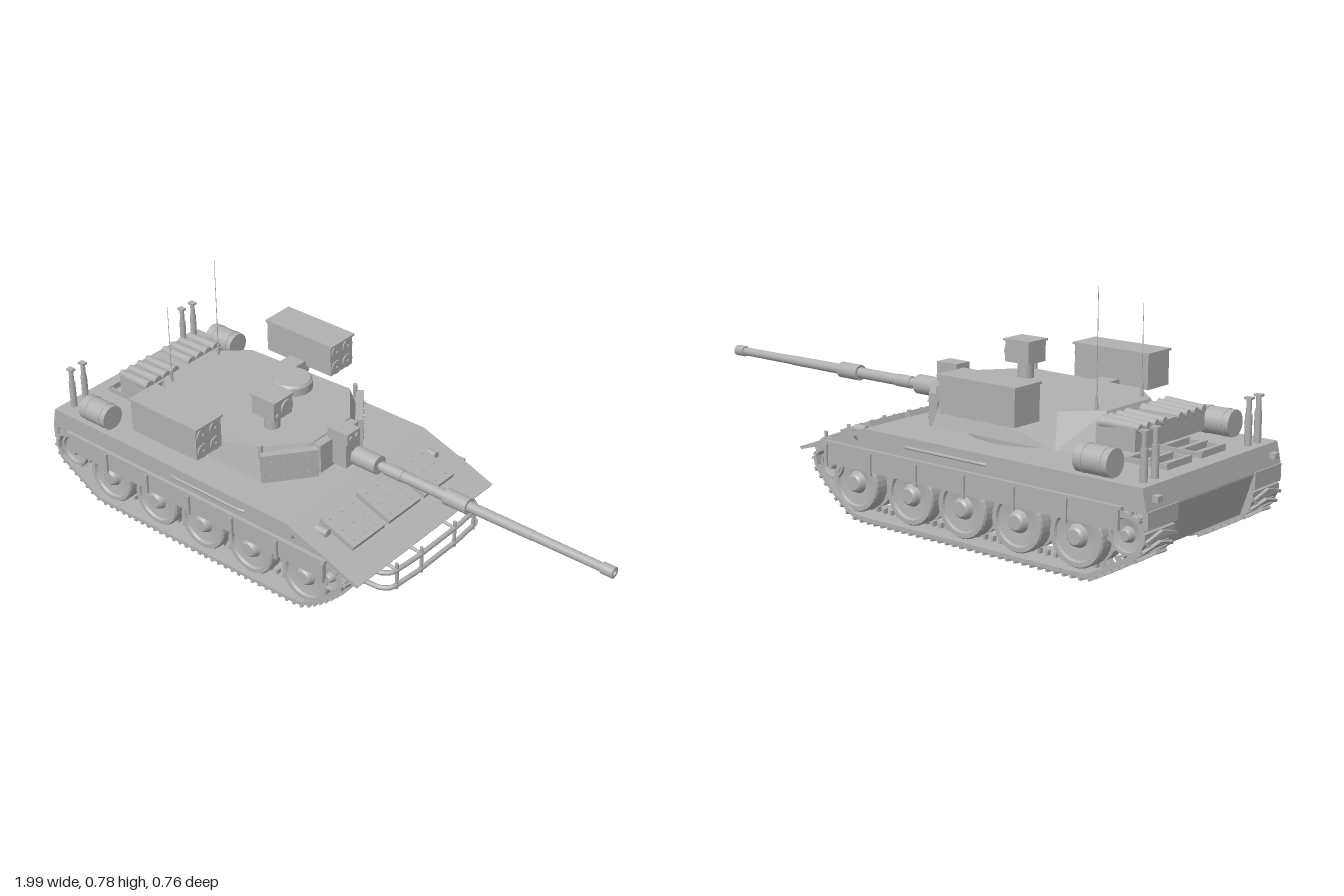
import * as THREE from 'three';
import { mergeGeometries } from 'three/addons/utils/BufferGeometryUtils.js';
import { ConvexGeometry } from 'three/addons/geometries/ConvexGeometry.js';

const V = (x, y, z) => new THREE.Vector3(x, y, z);

export function createModel() {
  const model = new THREE.Group();
  model.name = 'tank';
  const grey = new THREE.MeshStandardMaterial({ color: 0xb0b0b0 });
  grey.name = 'plain grey';

  const add = (name, geo, parent = model) => {
    const mesh = new THREE.Mesh(geo, grey);
    mesh.name = name;
    parent.add(mesh);
    return mesh;
  };
  // Box from its min and max corners
  const box = (x0, x1, y0, y1, z0, z1) =>
    new THREE.BoxGeometry(x1 - x0, y1 - y0, z1 - z0).translate((x0 + x1) / 2, (y0 + y1) / 2, (z0 + z1) / 2);
  const cylX = (r0, r1, x0, x1, y, z, n = 24) =>
    new THREE.CylinderGeometry(r1, r0, x1 - x0, n).rotateZ(-Math.PI / 2).translate((x0 + x1) / 2, y, z);
  const cylY = (r0, r1, y0, y1, x, z, n = 24) =>
    new THREE.CylinderGeometry(r1, r0, y1 - y0, n).translate(x, (y0 + y1) / 2, z);
  const cylZ = (r, z0, z1, x, y, n = 28) =>
    new THREE.CylinderGeometry(r, r, z1 - z0, n).rotateX(Math.PI / 2).translate(x, y, (z0 + z1) / 2);
  const tube = (pts, r, n = 24) => new THREE.TubeGeometry(
    new THREE.CatmullRomCurve3(pts, false, 'catmullrom', 0.1), n, r, 8);
  const slab = (pts, halfWidth) => new THREE.ExtrudeGeometry(
    new THREE.Shape(pts.map(p => new THREE.Vector2(...p))), { depth: halfWidth * 2, bevelEnabled: false })
    .translate(0, 0, -halfWidth);
  const sides = [1, -1];

  // Hull: wide upper body over a narrow lower tub
  add('upperHull', slab([[-0.975, 0.235], [0.23, 0.225], [0.335, 0.195], [0.34, 0.203], [0.23, 0.245],
    [0.06, 0.305], [-0.96, 0.305]], 0.345));
  add('lowerHull', slab([[-0.93, 0.105], [0.13, 0.105], [0.335, 0.2], [0.2, 0.24], [-0.975, 0.24]], 0.2));

  // Sloped armour blocks with bolts on the front plate
  const glacis = new THREE.Group();
  glacis.name = 'frontArmour';
  glacis.position.set(0.18, 0.264, 0);
  glacis.rotation.z = -0.36;
  model.add(glacis);
  for (const [z, w] of [[0, 0.158], [0.178, 0.155], [-0.178, 0.155]]) {
    add('armourBlock', box(-0.07, 0.07, -0.012, 0.016, z - w / 2, z + w / 2), glacis);
    const bolts = [];
    for (const x of [-0.05, 0, 0.05]) for (const k of [-1, 0, 1])
      bolts.push(cylY(0.0045, 0.0045, 0.015, 0.019, x, z + k * w * 0.34, 8));
    add('armourBolts', mergeGeometries(bolts), glacis);
  }

  // Running gear
  const trackPath = new THREE.CatmullRomCurve3([[-0.965, 0.165], [-0.945, 0.115], [-0.9, 0.09], [-0.79, 0.026],
    [-0.72, 0.02], [-0.3, 0.02], [0.05, 0.02], [0.12, 0.028], [0.2, 0.085], [0.265, 0.15], [0.272, 0.19],
    [0.235, 0.213], [0.1, 0.22], [-0.4, 0.222], [-0.8, 0.225], [-0.91, 0.222], [-0.95, 0.205]]
    .map(([x, y]) => V(x, y, 0)), true, 'catmullrom', 0.3);
  const linkCount = 92;
  const linkParts = [];
  for (let i = 0; i < linkCount; i++) {
    const u = i / linkCount, p = trackPath.getPointAt(u), t = trackPath.getTangentAt(u);
    const angle = Math.atan2(t.y, t.x);
    // Path runs counter-clockwise, so local -y faces outward
    const link = [box(-0.0145, 0.0145, -0.006, 0.006, -0.072, 0.072), box(-0.005, 0.005, 0.005, 0.022, -0.008, 0.008)];
    for (const s of sides)
      link.push(new THREE.BoxGeometry(0.009, 0.012, 0.074).rotateY(s * 0.25).translate(0, -0.01, s * 0.035));
    for (const g of link) linkParts.push(g.rotateZ(angle).translate(p.x, p.y, 0));
  }
  const trackGeo = mergeGeometries(linkParts);
  const wheelProfile = [[0, -0.06], [0.088, -0.06], [0.092, -0.055], [0.092, -0.012], [0.07, -0.01], [0.07, 0.01],
    [0.092, 0.012], [0.092, 0.052], [0.088, 0.058], [0.074, 0.058], [0.07, 0.05], [0.035, 0.045], [0.028, 0.06],
    [0.022, 0.066], [0, 0.066]].map(p => new THREE.Vector2(...p));
  const wheelGeo = new THREE.LatheGeometry(wheelProfile, 32).toNonIndexed().rotateX(Math.PI / 2);
  wheelGeo.computeVertexNormals();

  for (const s of sides) {
    const gear = new THREE.Group();
    gear.name = s > 0 ? 'leftRunningGear' : 'rightRunningGear';
    model.add(gear);
    add('track', trackGeo, gear).position.z = s * 0.273;
    const wheel = (name, x, y, k) => {
      const w = add(name, wheelGeo, gear);
      w.position.set(x, y, s * 0.273);
      w.rotation.y = s > 0 ? 0 : Math.PI;
      w.scale.set(k, k, 1);
    };
    for (const x of [-0.73, -0.52, -0.315, -0.11, 0.115]) {
      wheel('roadWheel', x, 0.122, 1);
      add('swingArm', tube([V(x, 0.12, s * 0.215), V(x + 0.06, 0.19, s * 0.2)], 0.012, 2), gear);
    }
    wheel('driveSprocket', -0.9, 0.16, 0.66);
    wheel('idler', 0.215, 0.165, 0.52);
    const teeth = [];
    for (let i = 0; i < 13; i++)
      teeth.push(box(-0.006, 0.006, 0.055, 0.07, -0.05, 0.05).rotateZ(i * Math.PI * 2 / 13));
    add('sprocketTeeth', mergeGeometries(teeth), gear).position.set(-0.9, 0.16, s * 0.273);

    // Side skirts in panels, with joint strips
    for (let i = 0; i < 6; i++) {
      const x = -0.89 + i * 0.185;
      add('skirtPanel', box(x, x + 0.182, 0.175, 0.24, s * 0.351 - 0.005, s * 0.351 + 0.005), gear);
      add('skirtStrip', box(x + 0.17, x + 0.182, 0.165, 0.235, s * 0.358 - 0.004, s * 0.358 + 0.004), gear);
    }
    add('skirtRail', box(-0.9, 0.22, 0.236, 0.245, s * 0.348 - 0.01, s * 0.348 + 0.01), gear);
    add('sideHandle', tube([V(-0.42, 0.275, s * 0.345), V(-0.4, 0.278, s * 0.354), V(-0.13, 0.278, s * 0.354),
      V(-0.11, 0.275, s * 0.345)], 0.005), gear);
    add('rearMudguard', box(-0.978, -0.96, 0.19, 0.24, s * 0.27 - 0.072, s * 0.27 + 0.072), gear);

    // Fuel drum, exhaust posts, lamps
    add('fuelDrum', cylX(0.042, 0.042, -0.84, -0.725, 0.345, s * 0.303, 28));
    for (const x of [-0.815, -0.75]) add('drumBand', cylX(0.0435, 0.0435, x - 0.004, x + 0.004, 0.345, s * 0.303, 28));
    for (const z of [0.237, 0.29]) {
      add('rearPost', cylY(0.011, 0.011, 0.305, 0.4, -0.925, s * z, 12));
      add('rearPostTip', cylY(0.008, 0.008, 0.4, 0.445, -0.925, s * z, 12));
      add('rearPostCap', box(-0.937, -0.913, 0.443, 0.45, s * z - 0.01, s * z + 0.01));
    }
    add('headlight', cylX(0.014, 0.014, 0.12, 0.165, 0.276, s * 0.272, 16));
    add('tailLamp', box(-0.988, -0.968, 0.262, 0.28, s * 0.3 - 0.012, s * 0.3 + 0.012));
    add('sideMarker', tube([V(0.09, 0.262, s * 0.342), V(0.09, 0.282, s * 0.357)], 0.004, 2));
  }

  // Engine grilles on the rear deck
  for (const s of sides) {
    for (const x of [-0.9, -0.84, -0.78])
      add('grilleBar', box(x - 0.006, x + 0.006, 0.303, 0.325, s * 0.088 - 0.06, s * 0.088 + 0.06));
    for (const z of [0.028, 0.146])
      add('grilleRail', box(-0.905, -0.72, 0.303, 0.32, s * z - 0.004, s * z + 0.004));
  }

  // Bumper guard
  for (const y of [0.195, 0.138]) {
    add('guardBar', tube([V(0.26, y, 0.245), V(0.34, y, 0.24), V(0.37, y, 0.215), V(0.38, y, 0.1), V(0.38, y, -0.1),
      V(0.37, y, -0.215), V(0.34, y, -0.24), V(0.26, y, -0.245)], 0.008, 48));
  }
  for (const z of [0.197, 0.085, -0.085, -0.197]) {
    const x = Math.abs(z) > 0.1 ? 0.372 : 0.38;
    add('guardPost', cylY(0.006, 0.006, 0.125, 0.22, x, z, 8));
    add('guardBrace', tube([V(0.29, 0.205, z), V(x, 0.195, z)], 0.005, 2));
  }

  // Turret
  add('turretRing', cylY(0.228, 0.228, 0.3, 0.328, -0.35, 0, 40));
  const base = [[-0.705, 0.13], [-0.59, 0.243], [-0.13, 0.25], [-0.02, 0.1]];
  const roof = [[-0.67, 0.11], [-0.565, 0.205], [-0.155, 0.222], [-0.045, 0.09]];
  const shell = [];
  for (const s of sides) {
    base.forEach(([x, z]) => shell.push(V(x, 0.325, s * z)));
    roof.forEach(([x, z]) => shell.push(V(x, 0.43, s * z)));
  }
  add('turretShell', new ConvexGeometry(shell));
  add('turretFront', box(-0.06, -0.015, 0.325, 0.425, -0.092, 0.092));
  for (const s of sides) {
    const cheek = new THREE.Group();
    cheek.name = 'cheekArmour';
    cheek.position.set(-0.074, 0.372, s * 0.173);
    cheek.rotation.y = s * 0.905;
    model.add(cheek);
    add('cheekPlate', box(-0.09, 0.09, -0.047, 0.052, -0.013, 0.013), cheek);
    const bolts = [];
    for (const x of [-0.06, -0.02, 0.02, 0.06]) for (const y of [-0.025, 0.025])
      bolts.push(cylZ(0.0045, s * 0.015 - 0.003, s * 0.015 + 0.003, x, y, 8));
    add('cheekBolts', mergeGeometries(bolts), cheek);
    add('roofPost', cylY(0.008, 0.008, 0.4, 0.448, -0.14, s * 0.232, 10));
  }

  // Gun
  add('mantletBox', box(-0.03, 0.04, 0.335, 0.42, -0.035, 0.035));
  add('gunCore', cylX(0.01, 0.01, 0, 0.2, 0.375, 0, 16));
  add('mantletSleeve', cylX(0.031, 0.031, 0.055, 0.146, 0.375, 0));
  for (const [r0, r1, x0, x1] of [[0.017, 0.017, 0.155, 0.175], [0.02, 0.02, 0.175, 0.24], [0.018, 0.018, 0.24, 0.405],
    [0.026, 0.026, 0.405, 0.49], [0.017, 0.016, 0.49, 0.72], [0.015, 0.014, 0.72, 0.965]])
    add('barrel', cylX(r0, r1, x0, x1, 0.375, 0));
  const muzzle = [[0.008, 0.96], [0.018, 0.96], [0.018, 1], [0.009, 1], [0.009, 0.975], [0, 0.975]]
    .map(p => new THREE.Vector2(...p));
  const muzzleGeo = new THREE.LatheGeometry(muzzle, 24).toNonIndexed().rotateZ(-Math.PI / 2).translate(0, 0.375, 0);
  muzzleGeo.computeVertexNormals();
  add('muzzle', muzzleGeo);

  // Gun sight
  add('gunSight', box(-0.03, 0.05, 0.425, 0.465, -0.022, 0.04));
  for (const z of [-0.005, 0.024]) add('gunSightLens', cylX(0.008, 0.008, 0.048, 0.055, 0.446, z, 16));

  // Panoramic sight
  add('sightPedestal', cylY(0.026, 0.026, 0.425, 0.486, -0.205, 0.103));
  add('sightHead', box(-0.25, -0.158, 0.48, 0.547, 0.06, 0.145));
  add('sightLid', box(-0.255, -0.152, 0.545, 0.552, 0.056, 0.149));
  add('sightLargeLens', cylX(0.026, 0.026, -0.16, -0.152, 0.512, 0.088));
  add('sightSmallLens', cylX(0.008, 0.008, -0.16, -0.153, 0.496, 0.13, 16));

  // Roof hatch
  add('hatchRing', cylY(0.068, 0.068, 0.425, 0.458, -0.31, -0.115, 32));
  add('hatchLid', cylY(0.066, 0.06, 0.458, 0.466, -0.31, -0.115, 32));

  // Aerials
  for (const [z, top] of [[0.112, 0.708], [-0.112, 0.785]]) {
    add('aerialBase', cylY(0.006, 0.004, 0.425, 0.47, -0.635, z, 10));
    add('aerial', cylY(0.0014, 0.0008, 0.47, top, -0.635, z, 6));
  }

  // Missile launchers on both flanks
  for (const s of sides) {
    const zc = s * 0.322;
    add('launcherBox', box(-0.55, -0.272, 0.41, 0.52, zc - 0.056, zc + 0.056));
    add('launcherLid', box(-0.555, -0.265, 0.518, 0.525, zc - 0.06, zc + 0.06));
    for (const y of [0.435, 0.492]) for (const k of sides) {
      add('launchTube', cylX(0.024, 0.024, -0.274, -0.268, y, zc + k * 0.028));
      add('launchTubeCap', cylX(0.005, 0.005, -0.269, -0.264, y, zc + k * 0.028, 10));
    }
    add('launcherBracket', new ConvexGeometry([-0.445, -0.38].flatMap(x =>
      [V(x, 0.43, s * 0.2), V(x, 0.37, s * 0.22), V(x, 0.385, s * 0.28), V(x, 0.415, s * 0.29), V(x, 0.43, s * 0.26)])));
  }

  // Stowage box with tubes behind the turret
  add('stowageBox', box(-0.815, -0.68, 0.345, 0.412, -0.175, 0.175));
  for (const s of sides) for (let i = 0; i < 4; i++)
    add('stowedTube', cylX(0.012, 0.019, -0.822, -0.69, 0.412, s * (0.04 + i * 0.04), 14));

  return model;
}
